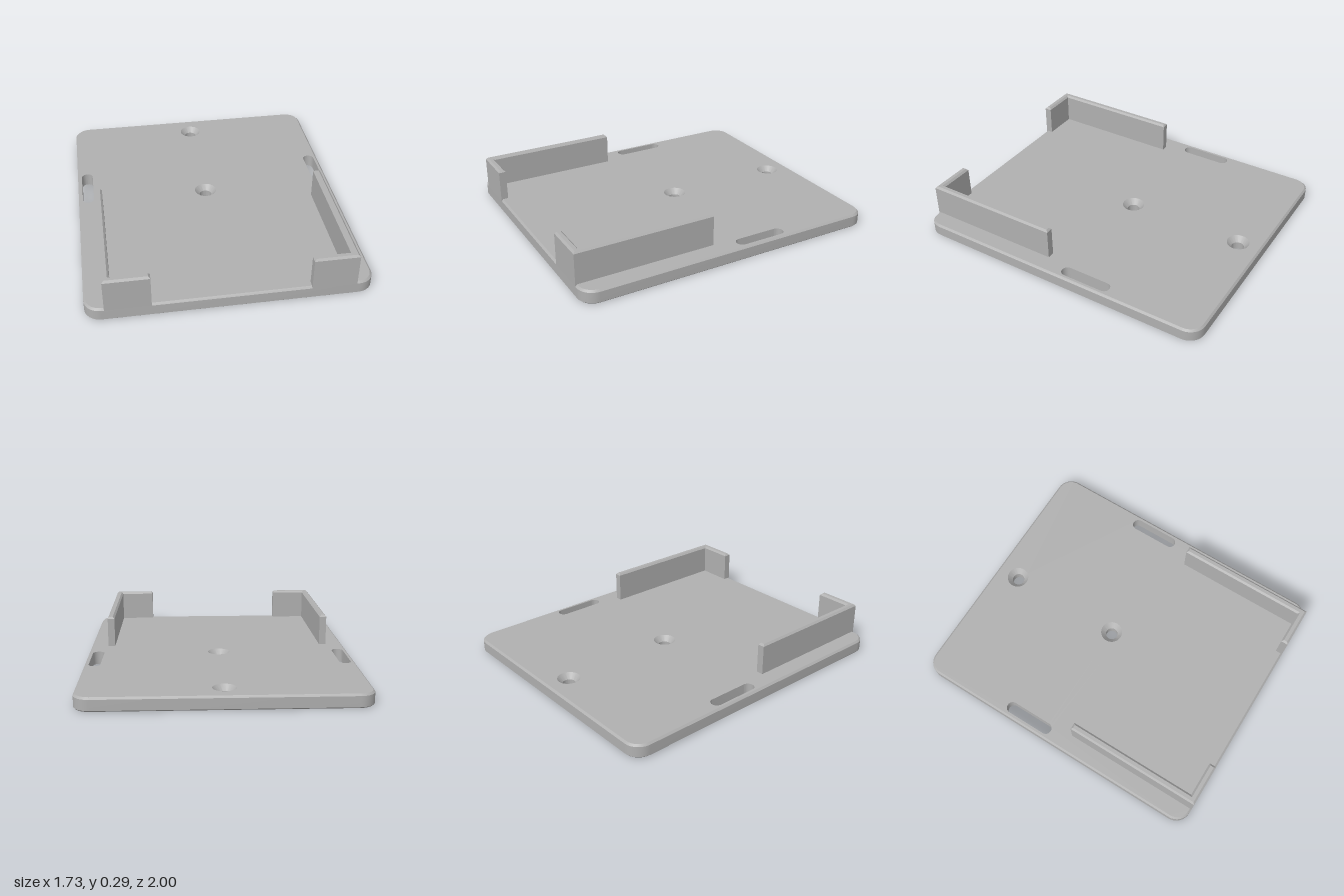
import * as THREE from 'three';
import { toCreasedNormals } from 'three/addons/utils/BufferGeometryUtils.js';

const V = (x, y) => new THREE.Vector2(x, y);

// Outlines are drawn counter-clockwise from above, in (x, -z).
function roundRect(cx, cy, hw, hh, r, n = 8) {
  const pts = [];
  [[1, 1], [-1, 1], [-1, -1], [1, -1]].forEach(([sx, sy], q) => {
    for (let i = 0; i <= n; i++) {
      const a = (q + i / n) * Math.PI / 2;
      pts.push(V(cx + sx * (hw - r) + r * Math.cos(a), cy + sy * (hh - r) + r * Math.sin(a)));
    }
  });
  return pts;
}

function circle(cx, cy, r, n = 40) {
  return Array.from({ length: n }, (_, i) => {
    const a = i / n * Math.PI * 2;
    return V(cx + r * Math.cos(a), cy + r * Math.sin(a));
  });
}

// Skin between stacked outlines; each ring is [points, height]
function skin(out, rings, inward = false) {
  for (let k = 0; k + 1 < rings.length; k++) {
    const [lo, y0] = rings[k], [hi, y1] = rings[k + 1];
    lo.forEach((p, i) => {
      const j = (i + 1) % lo.length;
      const a = [p.x, y0, -p.y], b = [lo[j].x, y0, -lo[j].y];
      const c = [hi[j].x, y1, -hi[j].y], d = [hi[i].x, y1, -hi[i].y];
      out.push(...(inward ? [a, c, b, a, d, c] : [a, b, c, a, c, d]).flat());
    });
  }
}

// Flat face with holes, at one height
function cap(out, outline, holes, y, up) {
  const cw = holes.map((h) => [...h].reverse());
  const pts = [outline, ...cw].flat();
  for (const [a, b, c] of THREE.ShapeUtils.triangulateShape([...outline], cw.map((h) => [...h]))) {
    for (const i of up ? [a, b, c] : [a, c, b]) out.push(pts[i].x, y, -pts[i].y);
  }
}

function makeMesh(name, positions, material) {
  const g = new THREE.BufferGeometry();
  g.setAttribute('position', new THREE.Float32BufferAttribute(positions, 3));
  const mesh = new THREE.Mesh(toCreasedNormals(g, 0.5), material);
  mesh.name = name;
  return mesh;
}

export function createModel() {
  const group = new THREE.Group();
  group.name = 'mountingPlate';
  const grey = new THREE.MeshStandardMaterial({ color: 0xb0b0b0 });
  grey.name = 'grey';

  // Base plate with chamfered rim
  const T = 0.085, C = 0.012, B = 0.007;
  const rim = (d) => roundRect(0, 0, 0.865 - d, 1 - d, 0.1 - d);
  const plate = [];
  skin(plate, [[rim(B), 0], [rim(0), B], [rim(0), T - C], [rim(C), T]]);

  // Countersunk screw holes and strap slots
  const topHoles = [], bottomHoles = [];
  for (const s of [0.845, 0.068]) {
    const small = circle(0, s, 0.04), wide = circle(0, s, 0.072);
    skin(plate, [[small, 0], [small, T - 0.035], [wide, T]], true);
    topHoles.push(wide);
    bottomHoles.push(small);
  }
  for (const side of [-1, 1]) {
    const slot = roundRect(side * 0.8, 0.21, 0.0375, 0.17, 0.037);
    skin(plate, [[slot, 0], [slot, T]], true);
    topHoles.push(slot);
    bottomHoles.push(slot);
  }
  cap(plate, rim(C), topHoles, T, true);
  cap(plate, rim(B), bottomHoles, 0, false);
  group.add(makeMesh('basePlate', plate, grey));

  // L-shaped retaining walls, chamfered along the top
  const ell = (d, side) => {
    const pts = [
      [0.475 + d, -1 + d], [0.75 - d, -1 + d], [0.75 - d, -0.097 - d],
      [0.704 + d, -0.097 - d], [0.704 + d, -0.953 - d], [0.475 + d, -0.953 - d],
    ].map(([x, y]) => V(side * x, y));
    return side > 0 ? pts : pts.reverse();
  };
  for (const [name, side] of [['leftWall', 1], ['rightWall', -1]]) {
    const wall = [];
    skin(wall, [[ell(0, side), T - C], [ell(0, side), 0.278], [ell(C, side), 0.29]]);
    cap(wall, ell(C, side), [], 0.29, true);
    group.add(makeMesh(name, wall, grey));
  }
  return group;
}
